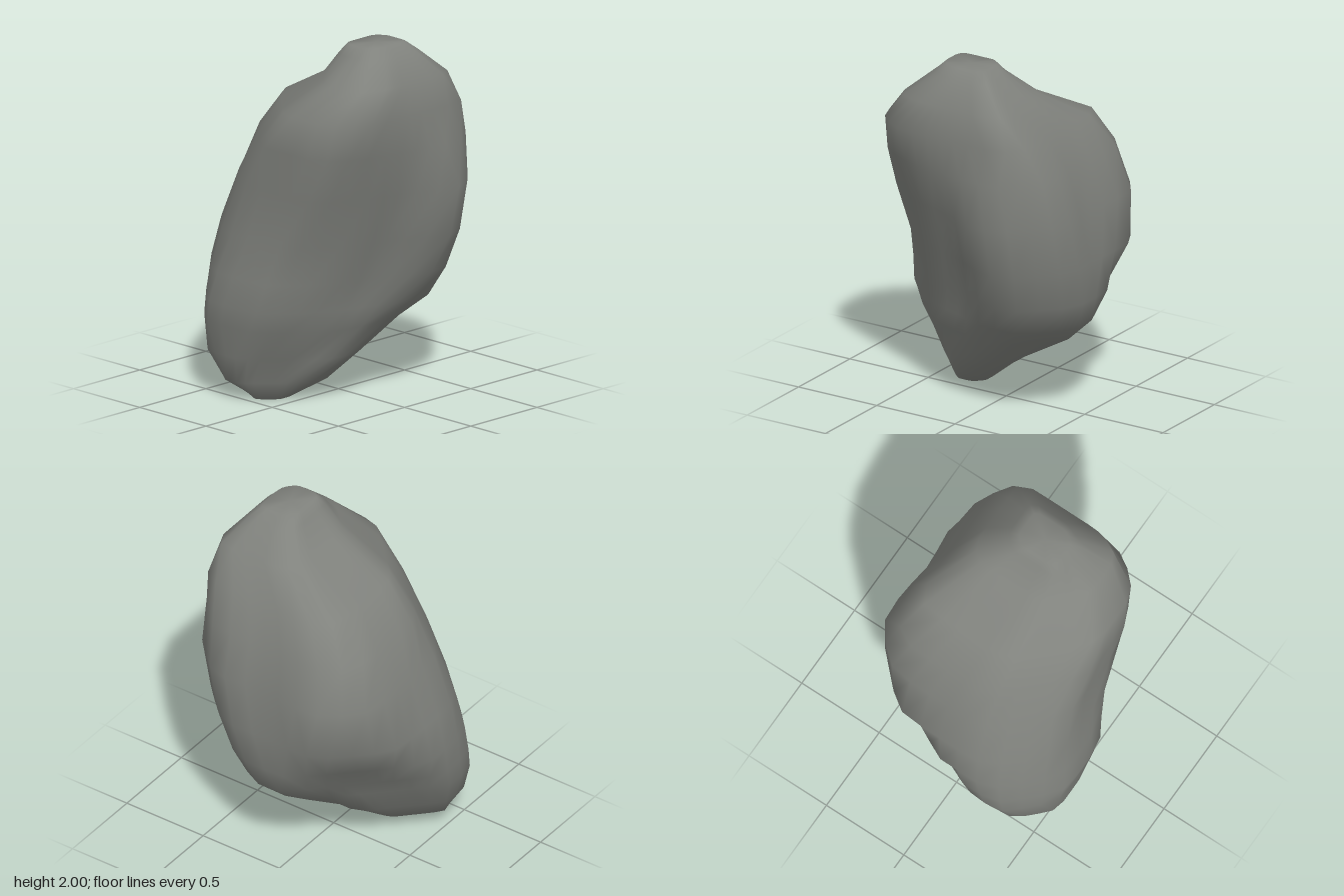
import * as THREE from 'three';

// Heights of the cross-sections
const heights = [0, 0.1, 0.25, 0.42, 0.54, 0.7, 0.92, 1.2, 1.45, 1.65, 1.82, 1.95, 2];

// How far the boulder reaches at each height, by compass direction (0 = +x, 90 = +z)
const reach = {
  0: [-0.08, 0.06, 0.19, 0.27, 0.385, 0.48, 0.59, 0.645, 0.6, 0.59, 0.56, 0.46, 0.41],
  22.5: [0.07, 0.2, 0.27, 0.31, 0.33, 0.37, 0.44, 0.52, 0.6, 0.67, 0.6, 0.45, 0.41],
  45: [0.2, 0.24, 0.3, 0.38, 0.42, 0.44, 0.48, 0.58, 0.64, 0.66, 0.6, 0.45, 0.36],
  90: [0.45, 0.55, 0.585, 0.6, 0.62, 0.59, 0.555, 0.53, 0.54, 0.515, 0.36, 0.21, 0.16],
  135: [0.45, 0.61, 0.7, 0.715, 0.705, 0.68, 0.625, 0.53, 0.42, 0.3, 0.08, 0, -0.05],
  180: [0.3, 0.5, 0.58, 0.64, 0.648, 0.652, 0.62, 0.53, 0.44, 0.27, -0.05, -0.17, -0.2],
  225: [0, 0.13, 0.25, 0.33, 0.4, 0.5, 0.65, 0.66, 0.58, 0.46, 0.13, -0.05, -0.1],
  270: [-0.22, -0.1, 0.12, 0.42, 0.545, 0.595, 0.615, 0.6, 0.53, 0.43, 0.31, 0.17, 0.11],
  315: [-0.25, -0.05, 0.12, 0.33, 0.5, 0.58, 0.65, 0.69, 0.68, 0.66, 0.59, 0.43, 0.36],
};
const planes = Object.entries(reach).map(([angle, d]) => {
  const t = THREE.MathUtils.degToRad(Number(angle));
  return { nx: Math.cos(t), nz: Math.sin(t), d };
});

// Shallow valleys: beside the front lobe, and between the two rear bulges
const folds = [
  { angle: 0.15, y: 1.0, depth: 0.06, width: 0.25, tall: 0.45 },
  { angle: 4.75, y: 1.25, depth: 0.05, width: 0.25, tall: 0.35 },
];

const SEGMENTS = 32;
const SHARPNESS = 28; // higher keeps the section corners tighter

function boulderGeometry() {
  const positions = [];
  const index = [];
  const centre = (k) => [(reach[0][k] - reach[180][k]) / 2, (reach[90][k] - reach[270][k]) / 2];

  // Rounded section through the reach planes at each height
  heights.forEach((y, k) => {
    const [cx, cz] = centre(k);
    for (let s = 0; s < SEGMENTS; s++) {
      const t = (s / SEGMENTS) * Math.PI * 2;
      const ux = Math.cos(t), uz = Math.sin(t);
      let sum = 0;
      for (const { nx, nz, d } of planes) {
        const facing = Math.max(0, nx * ux + nz * uz);
        sum += (facing / (d[k] - nx * cx - nz * cz)) ** SHARPNESS;
      }
      let r = sum ** (-1 / SHARPNESS);
      for (const f of folds) {
        const around = 2 * (1 - Math.cos(t - f.angle)) / f.width ** 2;
        r *= 1 - f.depth * Math.exp(-around - ((y - f.y) / f.tall) ** 2);
      }
      positions.push(cx + r * ux, y, cz + r * uz);
    }
  });

  // Skin between neighbouring sections
  const last = heights.length - 1;
  for (let k = 0; k < last; k++) {
    for (let s = 0; s < SEGMENTS; s++) {
      const next = (s + 1) % SEGMENTS;
      const a = k * SEGMENTS + s, b = k * SEGMENTS + next;
      index.push(a, a + SEGMENTS, b, b, a + SEGMENTS, b + SEGMENTS);
    }
  }

  // Underside and crown
  const bottom = positions.length / 3, top = bottom + 1;
  for (const k of [0, last]) {
    const [cx, cz] = centre(k);
    positions.push(cx, heights[k], cz);
  }
  for (let s = 0; s < SEGMENTS; s++) {
    const next = (s + 1) % SEGMENTS;
    index.push(bottom, s, next);
    index.push(top, last * SEGMENTS + next, last * SEGMENTS + s);
  }

  const geometry = new THREE.BufferGeometry();
  geometry.setAttribute('position', new THREE.Float32BufferAttribute(positions, 3));
  geometry.setIndex(index);
  geometry.computeVertexNormals();
  return geometry;
}

export function createModel() {
  const stone = new THREE.MeshStandardMaterial({ color: 0x80827d });
  stone.name = 'grey stone';

  const boulder = new THREE.Mesh(boulderGeometry(), stone);
  boulder.name = 'boulder';

  const group = new THREE.Group();
  group.name = 'rock';
  group.add(boulder);
  return group;
}
